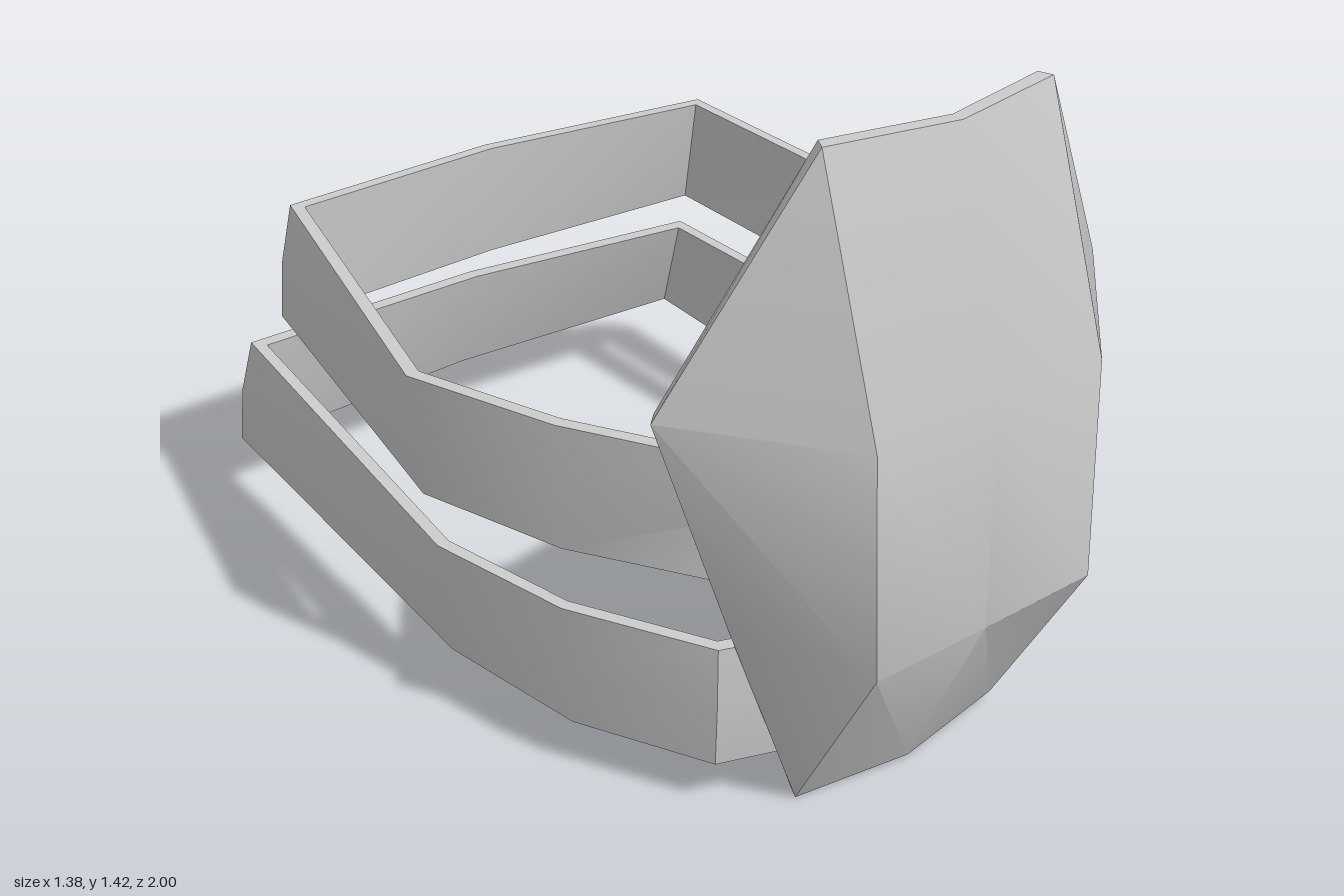
import * as THREE from 'three';
import { toCreasedNormals } from 'three/addons/utils/BufferGeometryUtils.js';

const grey = new THREE.MeshStandardMaterial({ color: 0xcccccc });
grey.name = 'plain grey';

// Skins a run of equal-length point loops; a ring joins its last loop to its first, otherwise the ends are capped.
function skin(loops, ring, crease) {
  const pos = [];
  const tri = (a, b, c) => {
    const [p, q, r] = [a, b, c].map((v) => new THREE.Vector3(...v));
    if (q.sub(p).cross(r.sub(p)).length() > 1e-6) pos.push(...a, ...b, ...c);
  };
  const quad = (a, b, c, d) => { tri(a, b, c); tri(a, c, d); };
  const n = loops[0].length, count = loops.length;
  for (let r = 0; r < (ring ? count : count - 1); r++) {
    const A = loops[r], B = loops[(r + 1) % count];
    for (let i = 0; i < n; i++) {
      const j = (i + 1) % n;
      quad(A[i], B[i], B[j], A[j]);
    }
  }
  if (!ring) {
    const T = loops[0], E = loops[count - 1];
    for (let i = 0; i < n / 2 - 1; i++) {
      quad(T[i], T[i + 1], T[n - 2 - i], T[n - 1 - i]);
      quad(E[n - 1 - i], E[n - 2 - i], E[i + 1], E[i]);
    }
  }
  const g = new THREE.BufferGeometry();
  g.setAttribute('position', new THREE.Float32BufferAttribute(pos, 3));
  return toCreasedNormals(g, crease);
}

function part(name, geometry) {
  const mesh = new THREE.Mesh(geometry, grey);
  mesh.name = name;
  return mesh;
}

// Faceted shield: rows from top to bottom, each from its right edge (-x) to its left edge (+x)
function makePlate() {
  const rows = [
    [[-0.30, 1.41, 0.85], [-0.30, 1.41, 0.85], [-0.04, 1.42, 0.91], [0.225, 1.425, 0.85], [0.225, 1.425, 0.85]],
    [[-0.555, 0.90, 0.71], [-0.28, 0.88, 1.0], [0, 0.89, 1.0], [0.265, 0.90, 0.985], [0.53, 0.94, 0.68]],
    [[-0.39, 0.41, 0.73], [-0.26, 0.405, 1.0], [0.01, 0.415, 0.99], [0.28, 0.428, 0.98], [0.40, 0.43, 0.70]],
    [[-0.25, 0, 0.76], [-0.25, 0, 0.76], [0.01, 0.01, 0.79], [0.28, 0.02, 0.73], [0.28, 0.02, 0.73]],
  ];
  const loops = rows.map((row) => [
    ...row,
    ...row.map(([x, y, z]) => [x * 0.95, y, z - 0.03]).reverse(),
  ]);
  return part('kneePlate', skin(loops, false, 0.48));
}

// Leaning flat band: outer bottom and top edges, going round from the front towards +x
function makeStrap(name, bottom, top) {
  const inward = ([x, y, z]) => [x * 0.957, y, z * 0.963];
  const loops = bottom.map((b, i) => {
    const t = top[i];
    const mid = [(b[0] + t[0]) * 0.505, (b[1] + t[1]) / 2, (b[2] + t[2]) * 0.505];
    return [b, mid, t, inward(t), inward(b)];
  });
  return part(name, skin(loops, true, 0.75));
}

export function createModel() {
  const model = new THREE.Group();
  model.name = 'kneePad';
  model.add(makePlate());
  model.add(makeStrap('upperStrap',
    [[-0.04, 0.51, 0.775], [0.32, 0.51, 0.69], [0.55, 0.51, 0.40], [0.635, 0.515, 0.05], [0.605, 0.53, -0.80],
      [0.02, 0.53, -0.80], [-0.54, 0.52, -0.76], [-0.665, 0.50, 0.08], [-0.56, 0.505, 0.42], [-0.40, 0.51, 0.68]],
    [[-0.04, 0.78, 0.80], [0.33, 0.78, 0.71], [0.56, 0.78, 0.40], [0.625, 0.78, 0.05], [0.58, 0.80, -0.72],
      [0.01, 0.80, -0.77], [-0.51, 0.79, -0.74], [-0.69, 0.77, 0.08], [-0.57, 0.775, 0.42], [-0.41, 0.78, 0.70]]));
  model.add(makeStrap('lowerStrap',
    [[-0.03, 0.11, 0.81], [0.33, 0.115, 0.70], [0.55, 0.115, 0.42], [0.685, 0.125, 0.05], [0.68, 0.15, -1.0],
      [0.04, 0.15, -1.0], [-0.58, 0.14, -0.94], [-0.615, 0.115, 0.08], [-0.55, 0.11, 0.43], [-0.40, 0.105, 0.70]],
    [[-0.03, 0.385, 0.84], [0.34, 0.385, 0.72], [0.56, 0.385, 0.42], [0.68, 0.395, 0.05], [0.635, 0.41, -0.87],
      [0.04, 0.415, -0.91], [-0.56, 0.405, -0.89], [-0.65, 0.385, 0.10], [-0.57, 0.38, 0.43], [-0.41, 0.38, 0.72]]));
  return model;
}
